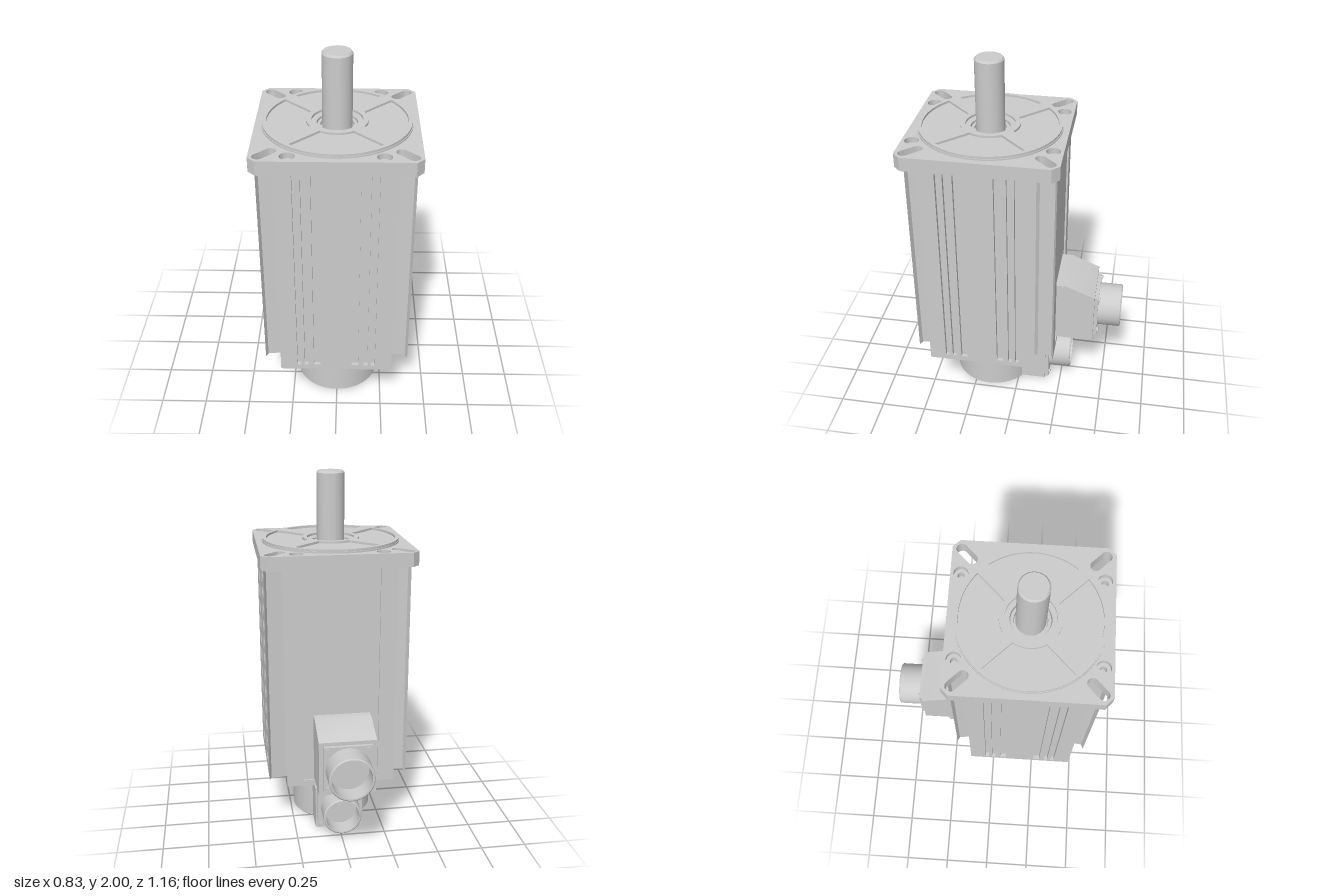
import * as THREE from 'three';
import { toCreasedNormals } from 'three/addons/utils/BufferGeometryUtils.js';

const material = new THREE.MeshStandardMaterial({ color: 0xcccccc });

function add(parent, name, geometry, x = 0, y = 0, z = 0) {
  const mesh = new THREE.Mesh(toCreasedNormals(geometry, 0.6), material);
  mesh.name = name;
  mesh.position.set(x, y, z);
  parent.add(mesh);
  return mesh;
}

const polygon = (pts) => new THREE.Shape(pts.map(([x, y]) => new THREE.Vector2(x, y)));
const lathe = (pts, n = 48) => new THREE.LatheGeometry(pts.map(([r, y]) => new THREE.Vector2(r, y)), n);
const circle = (x, y, r) => new THREE.Path().absarc(x, y, r, 0, Math.PI * 2, true);

// Horizontal plate: plan shape (x, -z) raised from y0 to y1
function slab(shape, y0, y1) {
  const g = new THREE.ExtrudeGeometry(shape, { depth: y1 - y0, bevelEnabled: false, curveSegments: 32 });
  return g.rotateX(-Math.PI / 2).translate(0, y0, 0);
}

function chamferedSquare(h, c) {
  const k = h - c;
  return polygon([[h, -k], [h, k], [k, h], [-k, h], [-h, k], [-h, -k], [-k, -h], [k, -h]]);
}

// Housing section: four sides with grooves and hollowed corners
function housingShape(grooved) {
  const h = 0.392, pts = [];
  const ribs = [[-0.21, -0.19], [-0.17, -0.15], [-0.12, -0.085], [0.085, 0.12], [0.15, 0.17], [0.19, 0.21]];
  for (let side = 0; side < 4; side++) {
    const line = [[0.38, -0.275], [h, -0.3]];
    const back = side === 1;
    const depth = back ? 0.01 : 0.022;
    if (grooved) {
      for (const [a, b] of back ? [[-0.21, 0.21]] : ribs) line.push([h, a], [h - depth, a], [h - depth, b], [h, b]);
    }
    line.push([h, 0.3], [0.38, 0.275], [0.3, 0.265], [0.265, 0.3]);
    const c = [1, 0, -1, 0][side], s = [0, 1, 0, -1][side];
    for (const [x, y] of line) pts.push([x * c - y * s, x * s + y * c]);
  }
  return polygon(pts);
}

// Radial mounting slot on a diagonal
function slot(angle) {
  const p = new THREE.Path(), r = 0.028;
  const ux = Math.cos(angle), uy = Math.sin(angle);
  p.absarc(ux * 0.515, uy * 0.515, r, angle - Math.PI / 2, angle + Math.PI / 2, false);
  p.absarc(ux * 0.438, uy * 0.438, r, angle + Math.PI / 2, angle + Math.PI * 1.5, false);
  p.closePath();
  return p;
}

function flangeShape(boltRadius) {
  const s = chamferedSquare(0.413, 0.038);
  for (let i = 0; i < 4; i++) s.holes.push(slot(Math.PI / 4 + i * Math.PI / 2));
  for (const x of [-0.228, 0.228]) for (const y of [-0.36, 0.36]) s.holes.push(circle(x, y, boltRadius));
  s.holes.push(circle(0, 0, 0.105));
  return s;
}

// Recess between two spokes of the pilot face
function pocket(angle) {
  const p = new THREE.Path(), half = 0.036, ro = 0.356, ri = 0.157;
  const ao = Math.PI / 4 - Math.asin(half / ro), ai = Math.PI / 4 - Math.asin(half / ri);
  p.absarc(0, 0, ro, angle - ao, angle + ao, false);
  p.absarc(0, 0, ri, angle + ai, angle - ai, true);
  p.closePath();
  return p;
}

// Round socket on a square bolted plate, opening towards -z
function connector(name, half, radius, length) {
  const g = new THREE.Group();
  g.name = name;
  add(g, 'socketPlate', new THREE.BoxGeometry(half * 2, half * 2, 0.02), 0, 0, -0.01);
  const wall = radius * 0.88;
  add(g, 'socket', lathe([
    [radius, 0], [radius, length - 0.006], [radius - 0.006, length], [wall, length], [wall, 0.04], [0, 0.04],
  ], 40).rotateX(-Math.PI / 2));
  for (const x of [-1, 1]) for (const y of [-1, 1]) {
    add(g, 'socketScrew', new THREE.CylinderGeometry(0.013, 0.013, 0.01, 16).rotateX(Math.PI / 2),
      x * half * 0.84, y * half * 0.84, -0.024);
  }
  return g;
}

export function createModel() {
  const model = new THREE.Group();
  model.name = 'servoMotor';
  const motor = new THREE.Group();
  motor.name = 'motor';
  motor.position.z = 0.167; // motor axis
  model.add(motor);

  // Ribbed housing and its plain lower end
  add(motor, 'housing', slab(housingShape(true), 0.35, 1.55));
  add(motor, 'housingEnd', slab(housingShape(false), 0.32, 0.35));

  // Mounting flange with slots and counterbored bolt holes
  add(motor, 'flangeLower', slab(flangeShape(0.018), 1.547, 1.592));
  add(motor, 'flangeUpper', slab(flangeShape(0.037), 1.592, 1.622));

  // Pilot disc with spokes
  add(motor, 'pilotBase', lathe([[0.105, 1.62], [0.38, 1.62], [0.38, 1.63], [0.105, 1.63]], 72));
  const face = new THREE.Shape().absarc(0, 0, 0.376, 0, Math.PI * 2, false);
  for (let i = 0; i < 4; i++) face.holes.push(pocket(i * Math.PI / 2));
  face.holes.push(circle(0, 0, 0.13));
  add(motor, 'pilotSpokes', slab(face, 1.63, 1.642));

  // Shaft and its seal
  add(motor, 'shaftSeal', lathe([[0.105, 1.6], [0.1, 1.615], [0.085, 1.615], [0.083, 1.6], [0.07, 1.6]]));
  add(motor, 'shaft', lathe([[0.076, 1.55], [0.076, 1.99], [0.068, 2], [0, 2]]));

  // Stepped base plates
  const upper = polygon([[0.272, -0.222], [0.272, 0.222], [0.222, 0.272], [0.14, 0.272], [0.14, 0.327],
    [-0.14, 0.327], [-0.14, 0.272], [-0.222, 0.272], [-0.272, 0.222], [-0.272, -0.222], [-0.222, -0.272], [0.222, -0.272]]);
  add(motor, 'basePlateUpper', slab(upper, 0.285, 0.32));
  add(motor, 'basePlateLower', slab(chamferedSquare(0.27, 0.06), 0.25, 0.283));

  // Encoder cover with its rear block and socket
  add(motor, 'encoderCover', lathe([[0, 0], [0.222, 0], [0.23, 0.008], [0.23, 0.26]], 64));
  add(motor, 'encoderBlock', new THREE.BoxGeometry(0.27, 0.245, 0.25), 0, 0.135, -0.202);
  const encoder = connector('encoderConnector', 0.127, 0.107, 0.145);
  encoder.position.set(0, 0.146, -0.327);
  motor.add(encoder);

  // Power terminal box with sloping top, and its socket
  const profile = polygon([[0.37, 0.365], [0.602, 0.365], [0.602, 0.67], [0.44, 0.735], [0.37, 0.735]]);
  const box = new THREE.ExtrudeGeometry(profile, { depth: 0.31, bevelEnabled: false });
  add(motor, 'terminalBox', box.rotateY(Math.PI / 2), -0.16);
  const power = connector('powerConnector', 0.13, 0.122, 0.15);
  power.position.set(-0.005, 0.52, -0.602);
  motor.add(power);

  return model;
}
